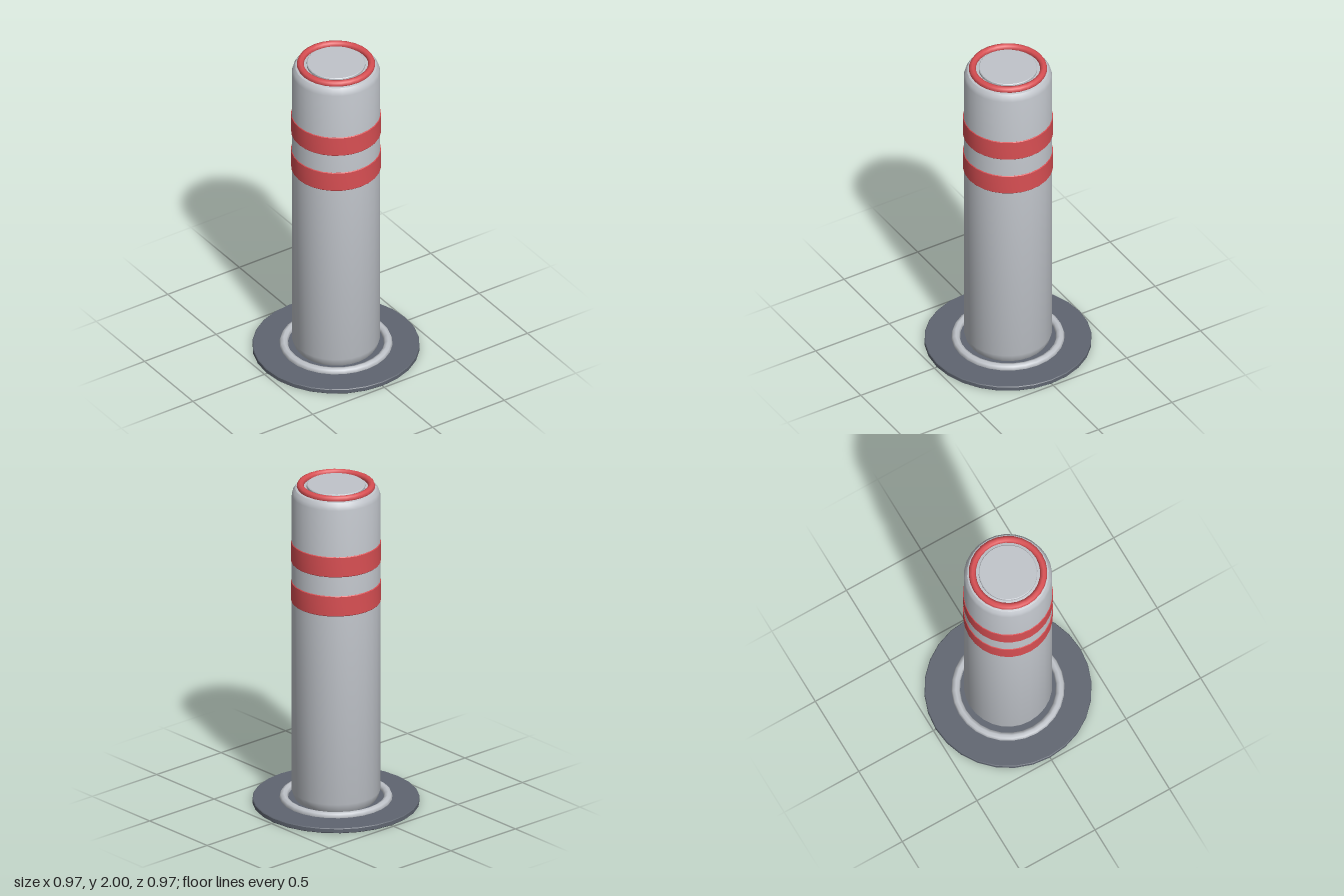
import * as THREE from 'three';
import { toCreasedNormals } from 'three/addons/utils/BufferGeometryUtils.js';

const SIDES = 28;

export function createModel() {
  const model = new THREE.Group();
  model.name = 'bollard';

  const material = (name, color) => {
    const m = new THREE.MeshStandardMaterial({ color });
    m.name = name;
    return m;
  };
  const grey = material('light grey metal', 0xc0c4ca);
  const red = material('red', 0xd94f53);
  const dark = material('dark grey metal', 0x5f6570);

  const add = (name, geometry, mat, y = 0) => {
    const mesh = new THREE.Mesh(geometry, mat);
    mesh.name = name;
    mesh.position.y = y;
    model.add(mesh);
  };
  // Solid of revolution from [radius, height] pairs, listed bottom to top
  const turned = (points) => toCreasedNormals(
    new THREE.LatheGeometry(points.map(([r, y]) => new THREE.Vector2(r, y)), SIDES), 0.6);
  const ring = (radius, tube) =>
    new THREE.TorusGeometry(radius, tube, 8, SIDES).rotateX(-Math.PI / 2);

  // Ground plate and the collar lying on it
  add('basePlate', turned([[0, 0], [0.481, 0], [0.485, 0.004], [0.485, 0.026], [0.481, 0.03], [0, 0.03]]), dark);
  add('baseCollar', ring(0.303, 0.025), grey, 0.035);

  // Post with softened ends
  add('post', turned([
    [0, 0.025], [0.232, 0.025], [0.247, 0.05], [0.257, 0.085],
    [0.257, 1.925], [0.25, 1.95], [0.237, 1.967], [0.22, 1.972], [0, 1.972],
  ]), grey);

  // Two warning bands
  [1.328, 1.573].forEach((y, i) => add(`band${i + 1}`, turned([
    [0.25, -0.063], [0.258, -0.063], [0.261, -0.059],
    [0.261, 0.059], [0.258, 0.063], [0.25, 0.063],
  ]), red, y));

  // Top ring and inset cap
  add('topRing', ring(0.207, 0.021), red, 1.979);
  add('topCap', turned([[0.17, 1.965], [0.17, 1.986], [0.166, 1.99], [0, 1.99]]), grey);

  return model;
}
